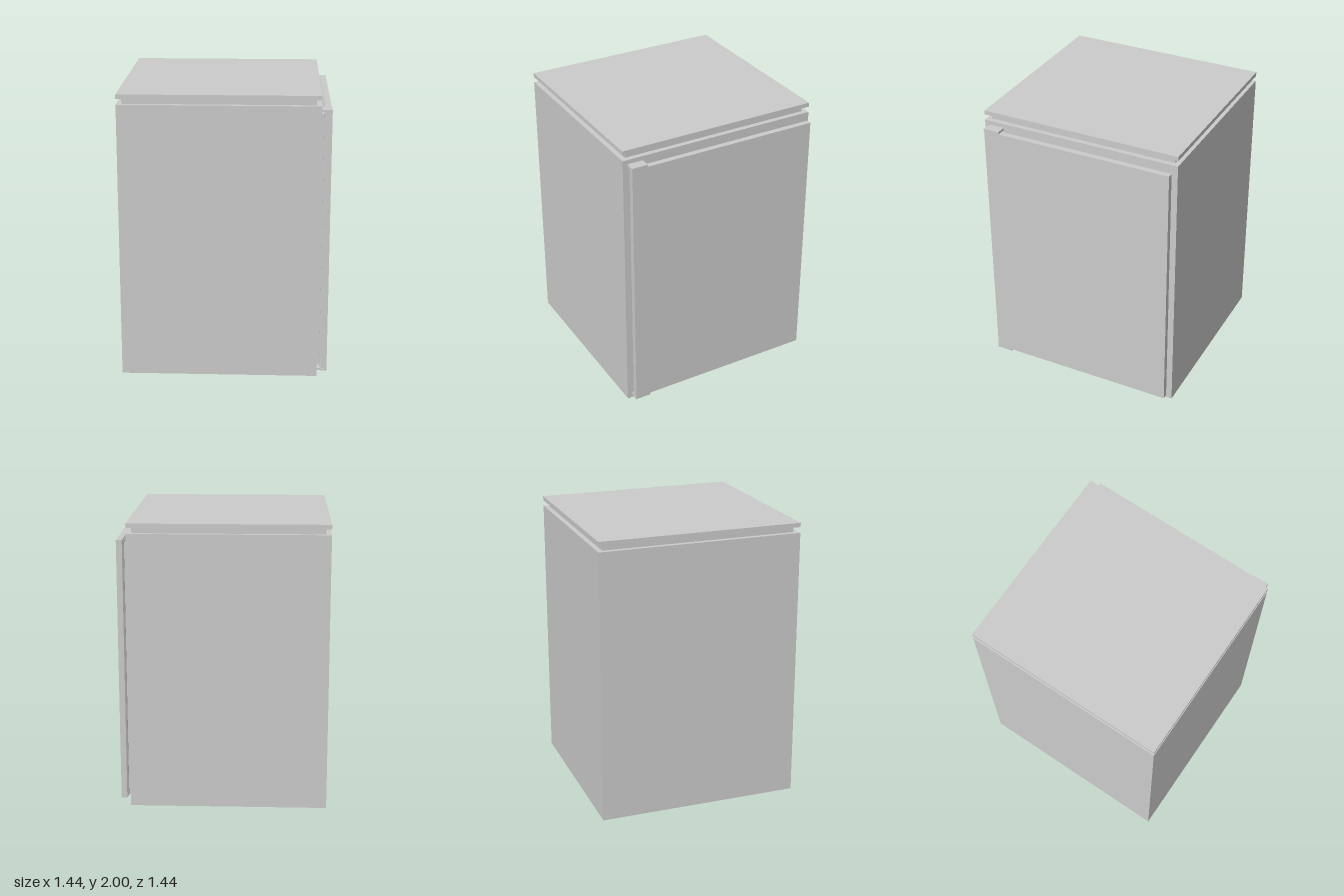
import * as THREE from 'three';

export function createModel() {
  const group = new THREE.Group();
  const mat = new THREE.MeshStandardMaterial({ color: 0xcccccc, flatShading: true });

  const add = (name, geo) => {
    const mesh = new THREE.Mesh(geo, mat);
    mesh.name = name;
    group.add(mesh);
    return mesh;
  };
  // Box given by its lower and upper limits on each axis
  const box = (name, [x0, x1], [y0, y1], [z0, z1]) => {
    const geo = new THREE.BoxGeometry(x1 - x0, y1 - y0, z1 - z0);
    geo.translate((x0 + x1) / 2, (y0 + y1) / 2, (z0 + z1) / 2);
    return add(name, geo);
  };

  // Cabinet with a recessed neck under the worktop
  box('cabinetBody', [-0.72, 0.65], [0, 1.93], [-0.718, 0.718]);
  box('worktopNeck', [-0.685, 0.615], [1.93, 1.97], [-0.683, 0.683]);
  box('worktop', [-0.72, 0.65], [1.97, 2], [-0.718, 0.718]);

  // Door on the left side, with its inner rim tapering towards the seal
  box('doorPanel', [0.68, 0.72], [0.045, 1.885], [-0.688, 0.685]);
  const rim = new THREE.BoxGeometry(0.012, 1.84, 1.373);
  const p = rim.attributes.position;
  for (let i = 0; i < p.count; i++) {
    if (p.getX(i) < 0) {
      p.setY(i, p.getY(i) - Math.sign(p.getY(i)) * 0.015);
      p.setZ(i, p.getZ(i) - Math.sign(p.getZ(i)) * 0.012);
    }
  }
  rim.translate(0.674, 0.965, -0.0015);
  rim.computeVertexNormals();
  add('doorInnerRim', rim);

  // Door seal: a wide strip on the cabinet and a narrower core against the door
  box('doorSeal', [0.65, 0.665], [0.065, 1.865], [-0.673, 0.67]);
  box('doorSealCore', [0.664, 0.669], [0.072, 1.858], [-0.666, 0.663]);

  // Hinge plates above and below the door, with a clipped outer corner
  const plate = new THREE.Shape([
    [0.65, -0.573], [0.72, -0.573], [0.72, -0.688], [0.675, -0.688],
    [0.668, -0.682], [0.65, -0.682],
  ].reverse().map(([x, y]) => new THREE.Vector2(x, y)));
  [['topHinge', 1.885], ['bottomHinge', 0.03]].forEach(([name, y]) => {
    const geo = new THREE.ExtrudeGeometry(plate, { depth: 0.015, bevelEnabled: false });
    geo.rotateX(-Math.PI / 2);
    geo.translate(0, y, 0);
    add(name, geo);
  });

  return group;
}
